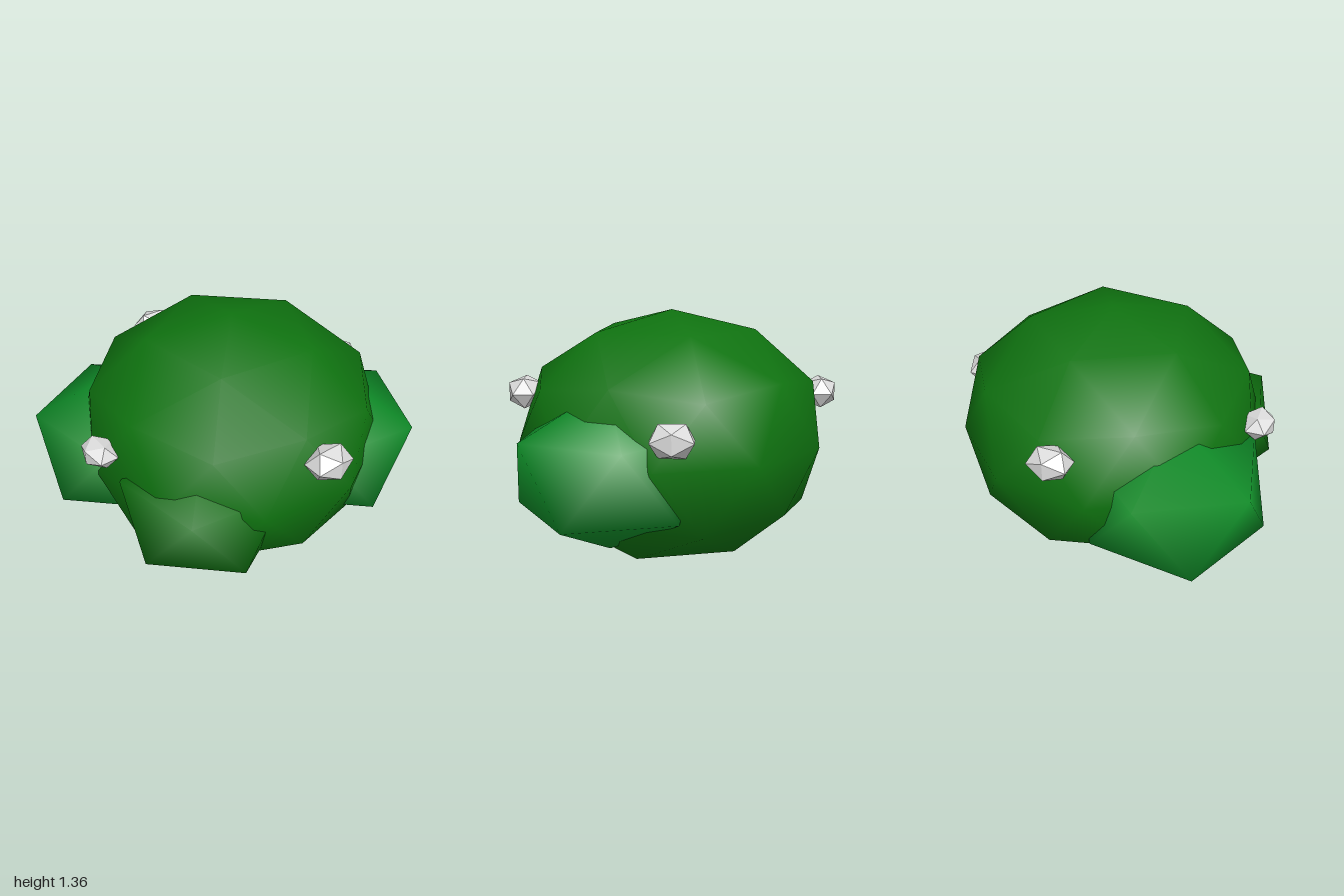
import * as THREE from 'three';
import { mergeVertices } from 'three/addons/utils/BufferGeometryUtils.js';

const SQUASH = 0.8;

// Smooth icosphere standing on one of its vertices, slightly flattened
function leafBall(radius, detail) {
  let geo = new THREE.IcosahedronGeometry(1, detail);
  geo.rotateZ(-Math.atan(2 / (1 + Math.sqrt(5))));
  geo.deleteAttribute('uv');
  geo.deleteAttribute('normal');
  geo = mergeVertices(geo, 1e-3);
  geo.scale(radius, radius * SQUASH, radius);
  geo.computeVertexNormals();
  return geo;
}

export function createModel() {
  const group = new THREE.Group();
  const darkLeaf = new THREE.MeshStandardMaterial({ name: 'dark leaf green', color: 0x0f7310 });
  const brightLeaf = new THREE.MeshStandardMaterial({ name: 'bright leaf green', color: 0x0f8c28 });
  const white = new THREE.MeshStandardMaterial({ name: 'blossom white', color: 0xdcdcdc });

  const add = (name, geo, mat, pos) => {
    const mesh = new THREE.Mesh(geo, mat);
    mesh.name = name;
    mesh.position.set(...pos);
    group.add(mesh);
    return mesh;
  };

  // Main crown, with its equator pulled in a touch
  const crown = leafBall(0.85, 1);
  const p = crown.attributes.position;
  for (let i = 0; i < p.count; i++) {
    if (Math.abs(p.getY(i)) < 0.01) p.setXYZ(i, p.getX(i) * 0.975, 0, p.getZ(i) * 0.975);
  }
  crown.computeVertexNormals();
  add('crown', crown, darkLeaf, [0.035, 0.675, -0.06]);

  // Coarser side clumps
  add('rightClump', leafBall(0.54, 0), brightLeaf, [-0.517, 0.565, 0.173]);
  add('leftClump', leafBall(0.53, 0), brightLeaf, [0.526, 0.59, -0.28]);
  add('frontClump', leafBall(0.485, 0), darkLeaf, [0.115, 0.545, 0.445]);

  // Faceted blossoms, each turned outward: x, y, z, radius, height ratio
  const blossoms = [
    [0.73, 0.91, 0.33, 0.13, 0.73],
    [-0.375, 0.825, 0.645, 0.118, 0.65],
    [0.43, 0.82, -0.75, 0.122, 0.78],
    [-0.665, 0.91, -0.46, 0.122, 0.75],
  ];
  blossoms.forEach(([x, y, z, r, h], i) => {
    const geo = new THREE.IcosahedronGeometry(r, 0);
    const mesh = add('blossom' + (i + 1), geo, white, [x, y, z]);
    mesh.scale.set(1, h, 0.8);
    mesh.rotation.y = Math.atan2(x, z + 0.06);
  });

  return group;
}
